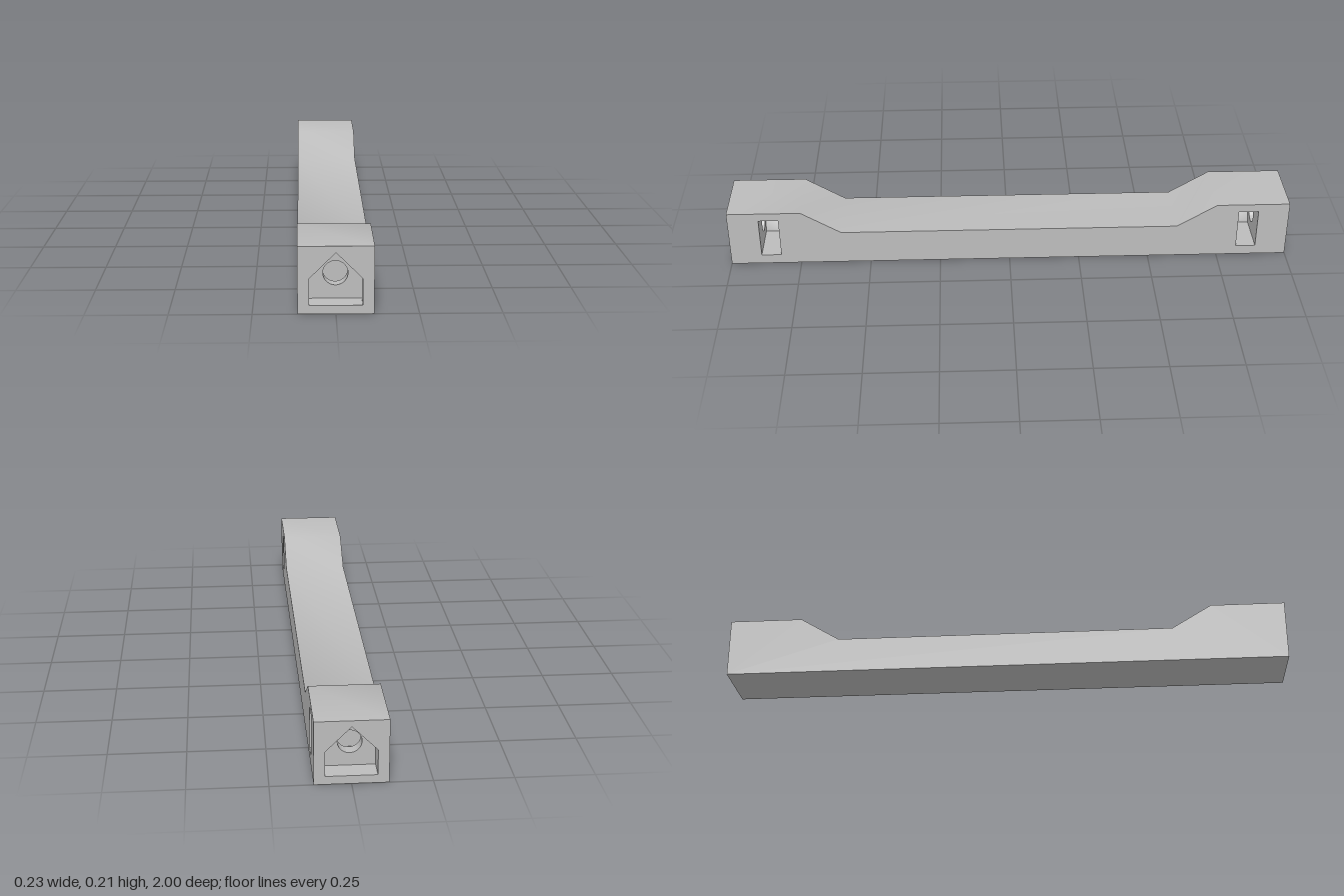
import * as THREE from 'three';
import { mergeGeometries, toCreasedNormals } from 'three/addons/utils/BufferGeometryUtils.js';

const HALF_W = 0.115, HEIGHT = 0.21, GRIP = 0.125;
const POCKET_Z = 0.93, SLOT_OUT = 0.89, SLOT_IN = 0.82;
const BORE_Y = 0.107, BORE_R = 0.038;

const pts = (list) => list.map(([x, y]) => new THREE.Vector2(x, y));

// Keep positions only, so that pieces can be merged freely
function bare(geo) {
  const g = geo.index ? geo.toNonIndexed() : geo;
  g.deleteAttribute('uv');
  g.deleteAttribute('normal');
  return g;
}

// Flat face at depth z looking toward +z, with optional openings
function plate(outline, holes = [], z = 0) {
  const shape = new THREE.Shape(outline);
  holes.forEach((h) => shape.holes.push(new THREE.Path(h)));
  return bare(new THREE.ShapeGeometry(shape).translate(0, 0, z));
}

// Walls swept along z; a counterclockwise path faces outward, clockwise inward
function walls(path, z0, z1) {
  const pos = [];
  for (let i = 0; i < path.length - 1; i++) {
    const p = path[i], q = path[i + 1];
    pos.push(p.x, p.y, z0, q.x, q.y, z0, q.x, q.y, z1);
    pos.push(p.x, p.y, z0, q.x, q.y, z1, p.x, p.y, z1);
  }
  const g = new THREE.BufferGeometry();
  g.setAttribute('position', new THREE.Float32BufferAttribute(pos, 3));
  return g;
}

// Mirror across z = 0, reversing corner order so that faces stay outward
function mirrorZ(geo) {
  const src = geo.attributes.position;
  const pos = [];
  for (let i = 0; i < src.count; i += 3) {
    for (const k of [i, i + 2, i + 1]) pos.push(src.getX(k), src.getY(k), -src.getZ(k));
  }
  const g = new THREE.BufferGeometry();
  g.setAttribute('position', new THREE.Float32BufferAttribute(pos, 3));
  return g;
}

const closed = (path) => [...path, path[0]];
const finish = (parts) => toCreasedNormals(mergeGeometries(parts), Math.PI / 5);

// Long body: waisted side profile, with nut slots opened in the left side
function bodyGeometry() {
  const profile = pts([
    [-1, 0], [1, 0], [1, HEIGHT], [0.74, HEIGHT], [0.6, GRIP],
    [-0.6, GRIP], [-0.74, HEIGHT], [-1, HEIGHT],
  ]);
  const slots = [-1, 1].map((s) => pts([
    [s * SLOT_IN, 0.035], [s * SLOT_OUT, 0.035], [s * SLOT_OUT, 0.18], [s * SLOT_IN, 0.18],
  ]));
  // Skip the two end edges, which belong to the sockets
  const underside = walls(profile.slice(0, 2), -HALF_W, HALF_W);
  const top = walls(profile.slice(2), -HALF_W, HALF_W);
  return finish([
    underside.rotateY(Math.PI / 2),
    top.rotateY(Math.PI / 2),
    plate(profile, slots, HALF_W).rotateY(Math.PI / 2),
    plate(profile, [], HALF_W).rotateY(-Math.PI / 2),
  ]);
}

// End face with gabled pocket, bolt bore and side-loaded nut slot
function socketParts() {
  const face = pts([[-HALF_W, 0], [HALF_W, 0], [HALF_W, HEIGHT], [-HALF_W, HEIGHT]]);
  const gable = pts([[-0.08, 0.027], [-0.08, 0.11], [0, 0.19], [0.08, 0.11], [0.08, 0.027]]);
  const bore = new THREE.Path().absarc(0, BORE_Y, BORE_R, 0, Math.PI * 2, true).getPoints(40);
  const slot = pts([
    [HALF_W, 0.035], [-0.038, 0.035], [-0.038, 0.043],
    [-0.084, BORE_Y], [-0.042, 0.18], [HALF_W, 0.18],
  ]);
  return [
    plate(face, [gable], 1),
    walls(closed(gable), POCKET_Z, 1),
    plate(gable, [bore], POCKET_Z),
    walls(bore, SLOT_OUT, POCKET_Z),
    mirrorZ(plate(slot, [bore], -SLOT_OUT)),
    walls(slot, SLOT_IN, SLOT_OUT),
    plate(slot, [], SLOT_IN),
  ];
}

export function createModel() {
  const group = new THREE.Group();
  group.name = 'handle';
  const grey = new THREE.MeshStandardMaterial({ color: 0xbcbcbc });
  grey.name = 'plainGrey';

  const add = (name, geo) => {
    const mesh = new THREE.Mesh(geo, grey);
    mesh.name = name;
    group.add(mesh);
  };
  const socket = socketParts();
  add('body', bodyGeometry());
  add('frontSocket', finish(socket));
  add('backSocket', finish(socket.map(mirrorZ)));
  return group;
}
